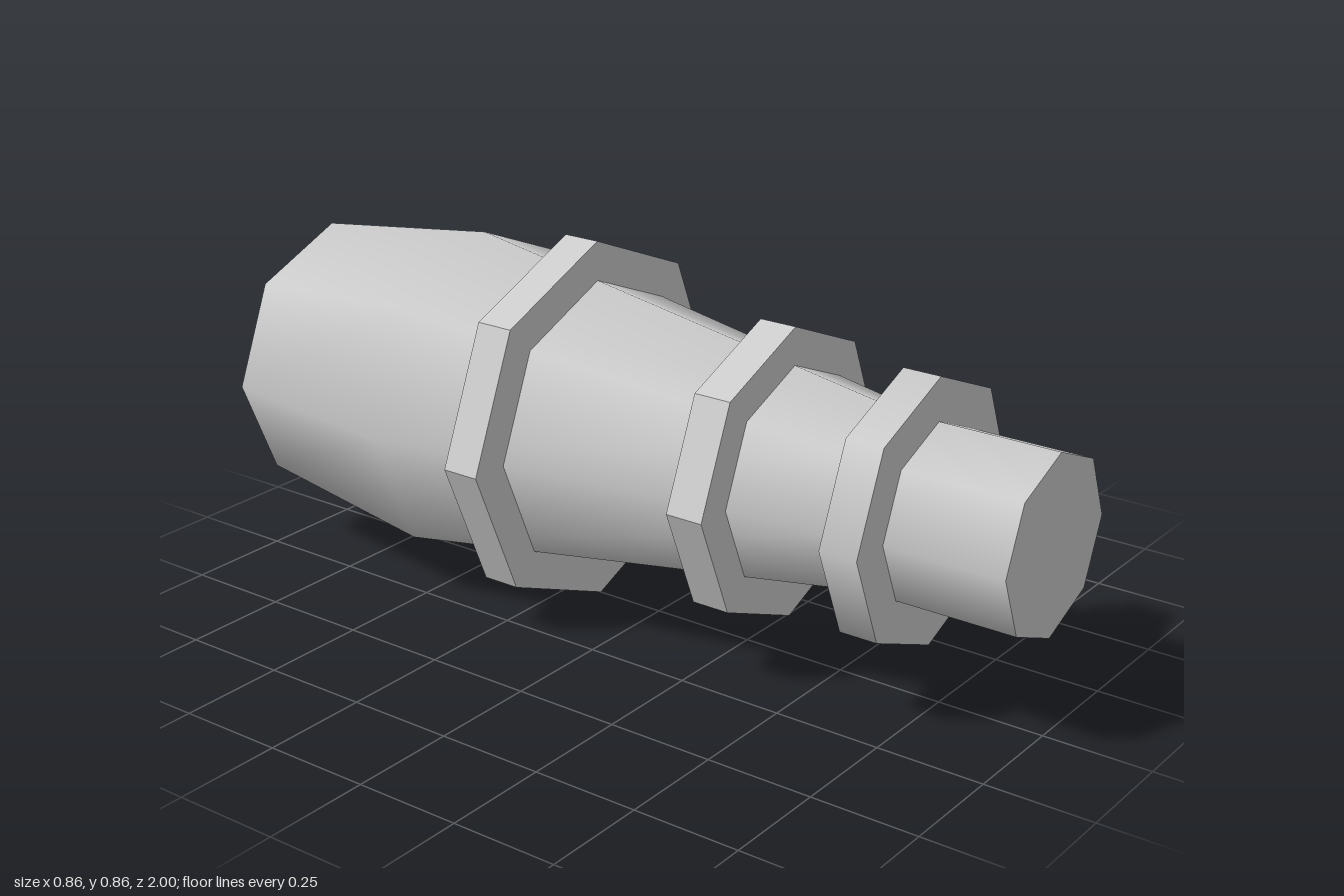
import * as THREE from 'three';

const SIDES = 8;
const AXIS_HEIGHT = 0.433;

export function createModel() {
  const model = new THREE.Group();
  const smooth = new THREE.MeshStandardMaterial({ color: 0xcccccc });
  const flat = new THREE.MeshStandardMaterial({ color: 0xcccccc, flatShading: true });

  const add = (name, geometry, material, z = 0) => {
    const mesh = new THREE.Mesh(geometry, material);
    mesh.name = name;
    mesh.position.set(0, AXIS_HEIGHT, z);
    model.add(mesh);
  };

  // Tapered eight-sided body: [radius, z] from back to front
  const profile = [[0.33, -1], [0.395, -0.505], [0.206, 0.64], [0.206, 1]];
  const points = profile.map(([r, z]) => new THREE.Vector2(r, z));
  add('body', new THREE.LatheGeometry(points, SIDES).rotateX(Math.PI / 2), smooth);

  // Flat end caps
  add('frontCap', new THREE.CircleGeometry(0.206, SIDES), flat, 1);
  add('backCap', new THREE.CircleGeometry(0.33, SIDES).rotateY(Math.PI), flat, -1);

  // Collars around the body; the front one has softly shaded sides
  const collars = [
    ['frontCollar', 0.305, 0.674, smooth],
    ['middleCollar', 0.339, 0.317, flat],
    ['rearCollar', 0.432, -0.217, flat],
  ];
  for (const [name, radius, z, material] of collars) {
    const ring = new THREE.CylinderGeometry(radius, radius, 0.09, SIDES).rotateX(Math.PI / 2);
    add(name, ring, material, z);
  }

  return model;
}
